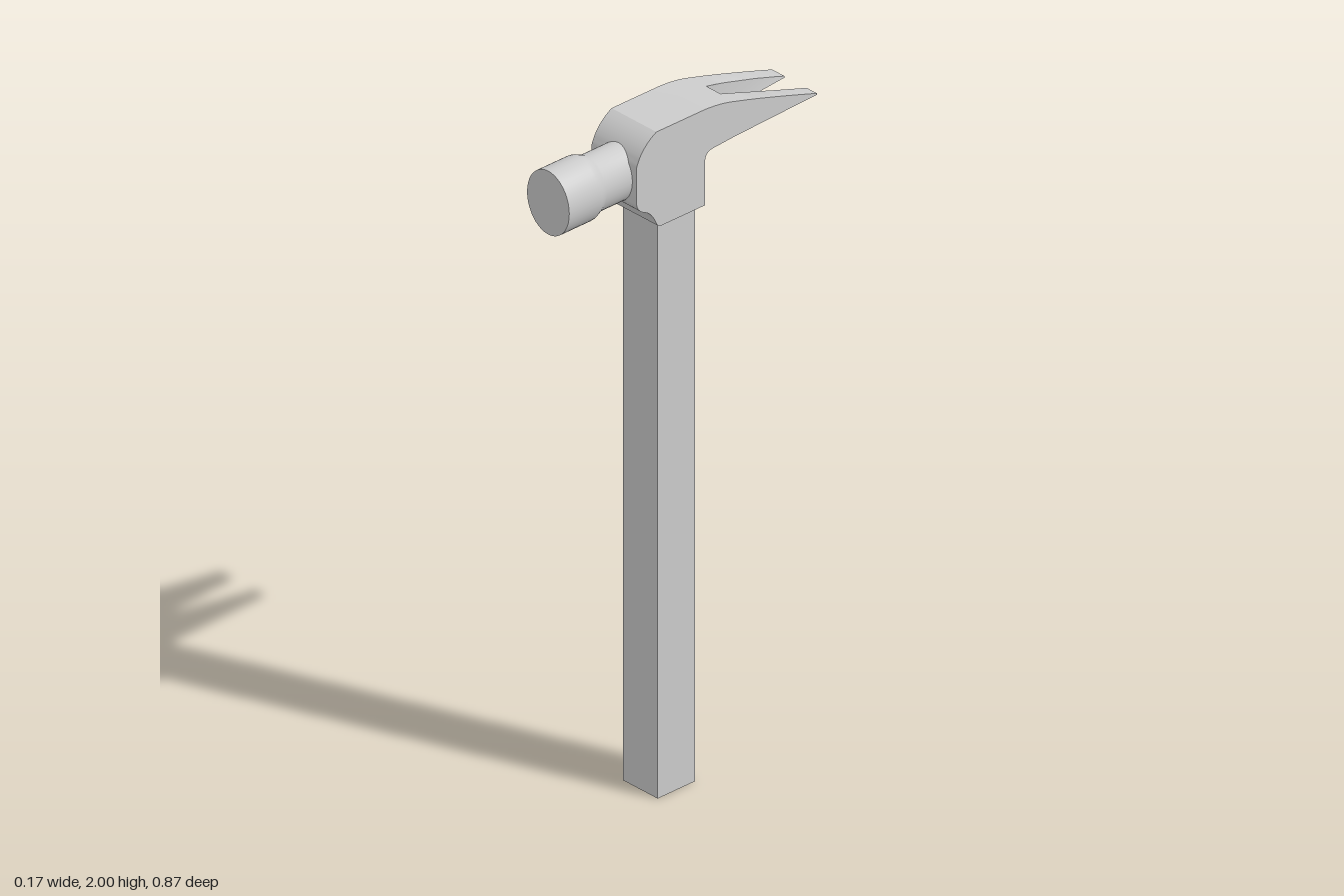
import * as THREE from 'three';
import { toCreasedNormals } from 'three/addons/utils/BufferGeometryUtils.js';

const HALF = 0.085;                          // half width of the head
const ROOT = -0.145, TIP = -0.435;           // claw slot range along z
const lerp = THREE.MathUtils.lerp;

export function createModel() {
  const group = new THREE.Group();
  const material = new THREE.MeshStandardMaterial({ color: 0xcccccc });
  const add = (name, geometry) => {
    const mesh = new THREE.Mesh(toCreasedNormals(geometry, 0.5), material);
    mesh.name = name;
    group.add(mesh);
  };

  // Side profile drawn as (z, y), extruded across x from 0 to width
  const extrudeSide = (shape, width) => new THREE.ExtrudeGeometry(shape, {
    depth: width, bevelEnabled: false, curveSegments: 10,
  }).rotateY(-Math.PI / 2).translate(width, 0, 0);

  // Handle: plain rectangular bar
  add('handle', new THREE.BoxGeometry(0.132, 1.76, 0.132).translate(0, 0.88, 0.044));

  // Head body, up to the root of the claw slot
  const body = new THREE.Shape();
  body.moveTo(-0.04, 1.715);
  body.lineTo(0.115, 1.715);
  body.lineTo(0.13, 1.722);
  body.quadraticCurveTo(0.145, 1.765, 0.175, 1.777);
  body.quadraticCurveTo(0.202, 1.79, 0.202, 1.815);
  body.lineTo(0.202, 1.92);
  body.quadraticCurveTo(0.185, 1.972, 0.132, 2);
  body.lineTo(-0.04, 2);
  body.quadraticCurveTo(-0.1, 1.997, ROOT, 1.983);
  body.lineTo(ROOT, 1.879);
  body.lineTo(-0.07, 1.874);
  body.quadraticCurveTo(-0.04, 1.872, -0.04, 1.845);
  body.closePath();
  add('headBody', extrudeSide(body, HALF * 2).translate(-HALF, 0, 0));

  // Claw prongs: wedge profile, inner wall flaring towards tip and top
  const prong = new THREE.Shape();
  prong.moveTo(ROOT, 1.879);
  prong.lineTo(ROOT, 1.983);
  prong.quadraticCurveTo(-0.25, 1.955, TIP, 1.894);
  prong.lineTo(TIP, 1.89);
  prong.closePath();
  for (const side of [-1, 1]) {
    const geometry = extrudeSide(prong, 1);
    const p = geometry.attributes.position;
    for (let i = 0; i < p.count; i++) {
      const along = (p.getZ(i) - ROOT) / (TIP - ROOT);
      const height = (p.getY(i) - lerp(1.879, 1.89, along)) / 0.104;
      const inner = 0.004 + side * (lerp(0.027, 0.041, along) + 0.02 * height * along);
      const outer = side * HALF;
      p.setX(i, side < 0 ? lerp(outer, inner, p.getX(i)) : lerp(inner, outer, p.getX(i)));
    }
    add(side < 0 ? 'rightClaw' : 'leftClaw', geometry);
  }

  // Striking face and neck: oval turned profile pointing forward
  const profile = [[0, 0.1], [0.069, 0.1], [0.069, 0.292], [0.073, 0.302], [0.079, 0.318], [0.08, 0.33], [0.08, 0.435], [0, 0.435]]
    .map(([r, z]) => new THREE.Vector2(r, z));
  add('strikingFace', new THREE.LatheGeometry(profile, 40)
    .rotateX(Math.PI / 2).scale(1, 1.18, 1).translate(0, 1.872, 0));

  return group;
}
